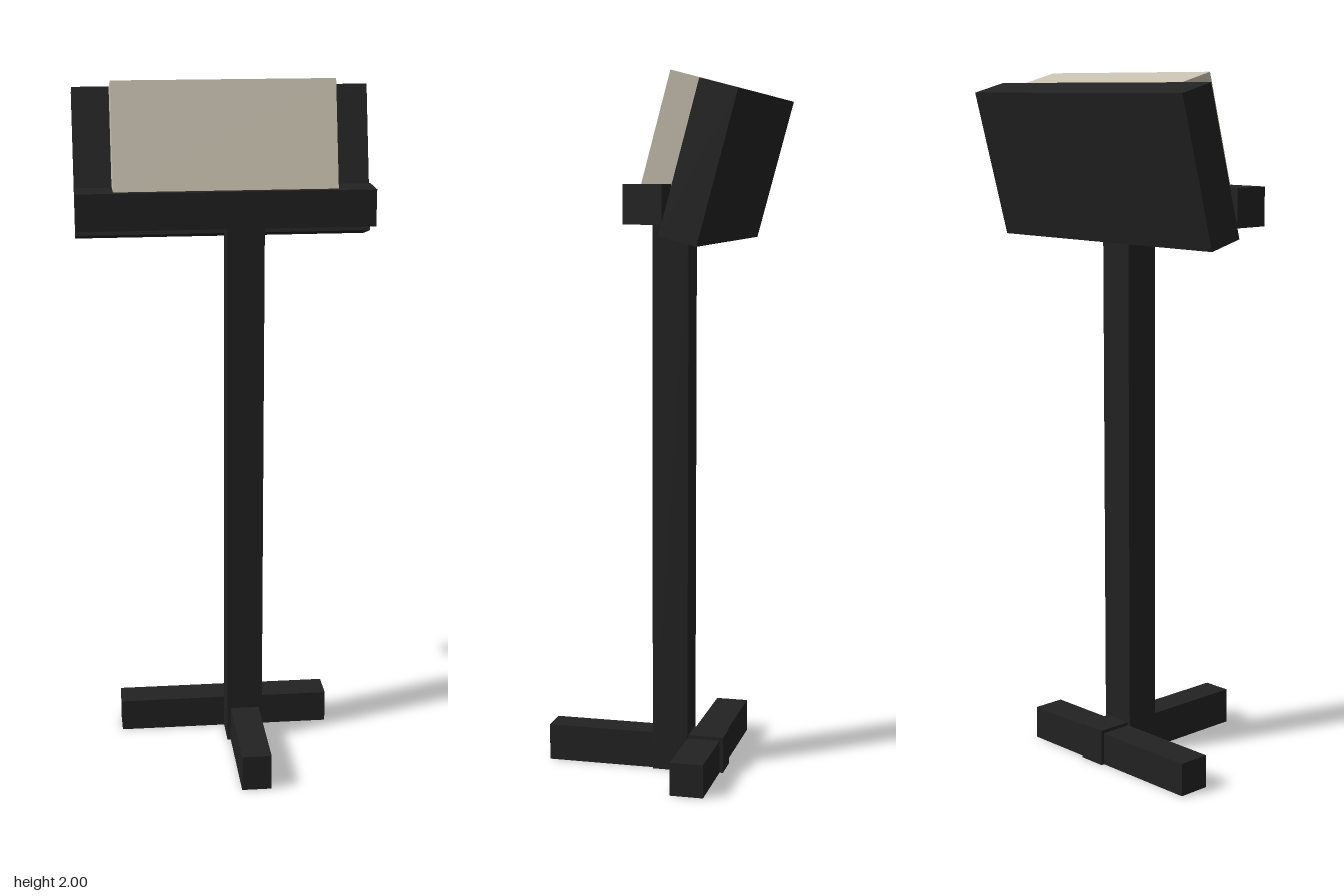
import * as THREE from 'three';

export function createModel() {
  const model = new THREE.Group();
  model.name = 'lectern';

  const black = new THREE.MeshStandardMaterial({ color: 0x222222 });
  black.name = 'black';
  const paper = new THREE.MeshStandardMaterial({ color: 0xc8c0b0 });
  paper.name = 'paper beige';

  // Box given by its extents along each axis
  function box(name, [x0, x1], [y0, y1], [z0, z1], material, parent = model) {
    const mesh = new THREE.Mesh(new THREE.BoxGeometry(x1 - x0, y1 - y0, z1 - z0), material);
    mesh.position.set((x0 + x1) / 2, (y0 + y1) / 2, (z0 + z1) / 2);
    mesh.name = name;
    parent.add(mesh);
    return mesh;
  }

  // Crossed feet
  box('crossFoot', [-0.318, 0.318], [0, 0.096], [-0.202, -0.106], black);
  box('longFoot', [0.01, 0.096], [0, 0.106], [-0.212, 0.314], black);

  // Post and the ledge it carries
  box('post', [0, 0.106], [0, 1.594], [-0.108, -0.004], black);
  box('ledge', [-0.425, 0.425], [1.594, 1.7], [-0.109, -0.004], black);

  // Back board and book, leaning back together
  const rest = new THREE.Group();
  rest.name = 'tiltedRest';
  rest.position.set(0, 1.755, -0.206);
  rest.rotation.x = -Math.PI / 12;
  model.add(rest);
  box('backBoard', [-0.425, 0.425], [-0.211, 0.211], [-0.053, 0.053], black, rest);
  box('book', [-0.319, 0.319], [-0.106, 0.211], [0.053, 0.159], paper, rest);

  return model;
}
